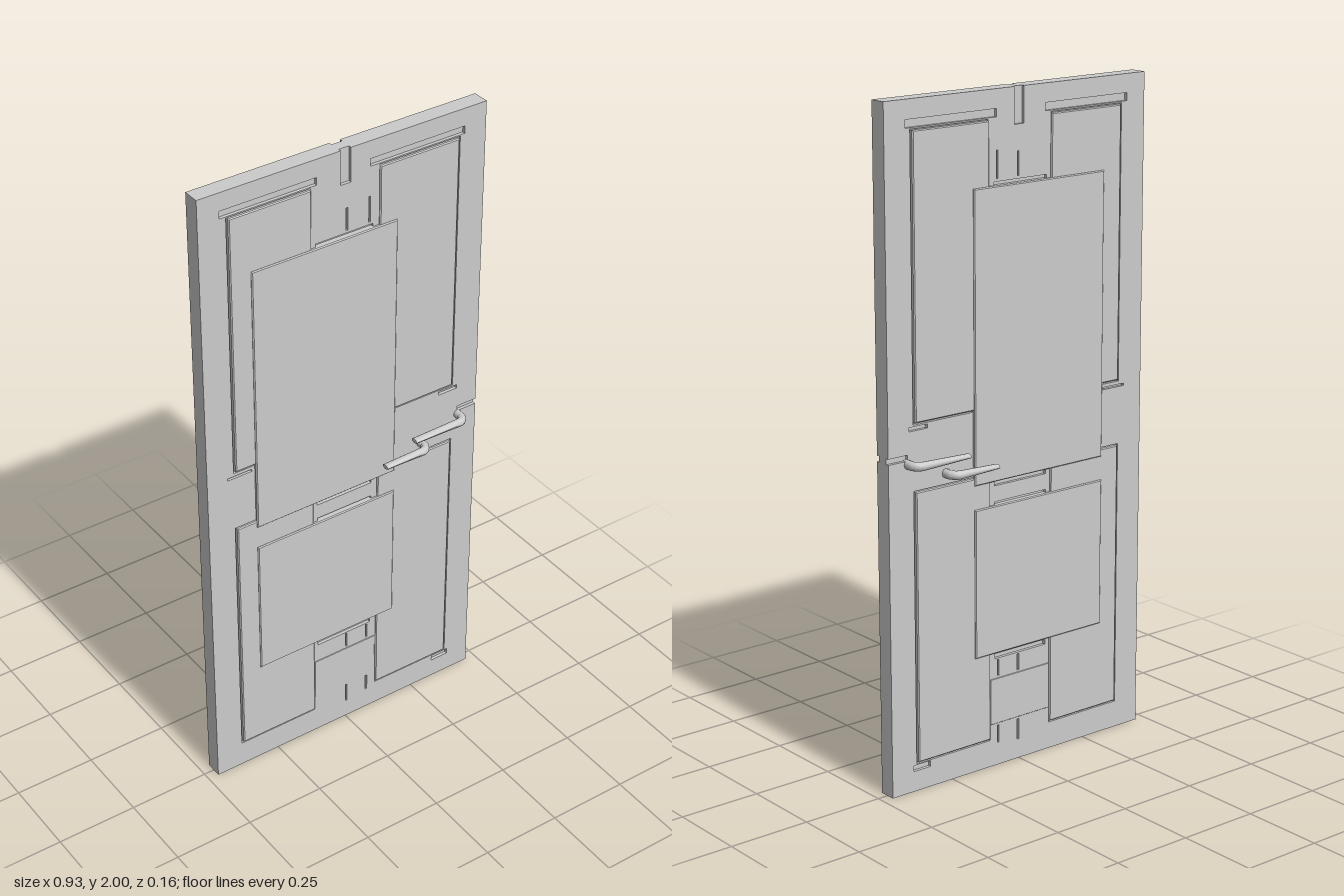
import * as THREE from 'three';

const grey = new THREE.MeshStandardMaterial({ color: 0xcccccc });
const flat = new THREE.MeshStandardMaterial({ color: 0xcccccc, flatShading: true });
const capMat = new THREE.MeshStandardMaterial({ color: 0xcccccc, side: THREE.DoubleSide });

const HALF = 0.026;   // half thickness of the door
const SKIN = 0.01;    // depth of the cut grooves

function shapeOf(points, Type = THREE.Shape) {
  return new Type(points.map(([x, y]) => new THREE.Vector2(x, y)));
}
const rect = (x0, x1, y0, y1) => [[x0, y0], [x1, y0], [x1, y1], [x0, y1]];

function add(parent, name, geometry, material = flat) {
  const mesh = new THREE.Mesh(geometry, material);
  mesh.name = name;
  parent.add(mesh);
  return mesh;
}

// A panel running through the door, standing proud by the same amount on both faces
function addPanel(parent, name, [x0, x1, y0, y1], half) {
  const b = 0.003;
  const geo = new THREE.ExtrudeGeometry(shapeOf(rect(x0 + b, x1 - b, y0 + b, y1 - b)), {
    depth: 2 * (half - b), bevelEnabled: true, bevelThickness: b, bevelSize: b, bevelSegments: 1,
  });
  geo.translate(0, 0, -(half - b));
  add(parent, name, geo);
}

// A round lever on one face; it thins toward its free end
function addLever(parent, name, tipX, stemX, y, side) {
  const z = 0.0665 * side, r = 0.0125;
  const points = [[tipX, z], [stemX - 0.02, z], [stemX - 0.008, z - 0.005 * side],
    [stemX, z - 0.019 * side], [stemX, 0.015 * side]];
  const path = new THREE.CurvePath();
  for (let i = 1; i < points.length; i++) {
    const [a, b] = [points[i - 1], points[i]];
    path.add(new THREE.LineCurve3(new THREE.Vector3(a[0], 0, a[1]), new THREE.Vector3(b[0], 0, b[1])));
  }
  const squash = (x) => THREE.MathUtils.lerp(0.55, 1.1, THREE.MathUtils.clamp((x - tipX) / (stemX - tipX), 0, 1));
  const geo = new THREE.TubeGeometry(path, 48, r, 12, false);
  const pos = geo.attributes.position;
  for (let i = 0; i < pos.count; i++) pos.setY(i, pos.getY(i) * squash(pos.getX(i)));
  geo.computeVertexNormals();
  const lever = new THREE.Group();
  lever.name = name;
  lever.position.y = y;
  add(lever, 'leverRod', geo, grey);
  const cap = add(lever, 'leverEnd', new THREE.CircleGeometry(r, 12), capMat);
  cap.rotation.y = -Math.PI / 2;
  cap.scale.y = squash(tipX);
  cap.position.set(tipX, 0, z);
  parent.add(lever);
}

export function createModel() {
  const door = new THREE.Group();
  door.name = 'door';

  // Core, visible at the bottom of the grooves
  const core = add(door, 'core', new THREE.BoxGeometry(0.934, 2, 2 * (HALF - SKIN)));
  core.position.y = 1;

  // Face outline with the top notch and the notch in the lock edge
  const outline = shapeOf([
    [-0.467, 0], [0.467, 0], [0.467, 0.995], [0.4, 0.995], [0.4, 1.012], [0.467, 1.012],
    [0.467, 2], [0.016, 2], [0.016, 1.895], [-0.018, 1.895], [-0.018, 2], [-0.467, 2],
  ]);
  const sidePanels = [
    [-0.375, -0.115, 1.1, 1.915], [0.11, 0.375, 1.1, 1.915],
    [-0.375, -0.115, 0.088, 0.9], [0.11, 0.375, 0.088, 0.9],
  ];
  // Grooves: headers, short corner cuts, middle rail cuts and slits
  const grooves = [
    [-0.4, -0.095, 1.922, 1.945], [0.08, 0.395, 1.922, 1.945],
    [-0.4, -0.32, 1.078, 1.085], [0.33, 0.395, 1.078, 1.09],
    [0.33, 0.39, 0.062, 0.08],
    [-0.1, 0.09, 1.72, 1.742], [-0.1, 0.09, 0.802, 0.815], [-0.1, 0.09, 0.863, 0.89],
    [-0.1, 0.09, 0.335, 0.35],
    [0, 0.006, 1.75, 1.82], [0, 0.006, 0.28, 0.33], [0, 0.006, 0.06, 0.125],
    [0.075, 0.081, 1.75, 1.83], [0.075, 0.081, 0.28, 0.33], [0.075, 0.081, 0.07, 0.125],
  ];
  // Panel openings leave a narrow gap on the outer sides only
  const openings = sidePanels.map(([x0, x1, y0, y1]) =>
    [x0 - (x0 < 0 ? 0.005 : 0), x1 + (x0 > 0 ? 0.005 : 0), y0 - 0.005, y1 + 0.003]);
  for (const r of [...grooves, ...openings]) outline.holes.push(shapeOf(rect(...r), THREE.Path));

  for (const side of [1, -1]) {
    const face = new THREE.ExtrudeGeometry(outline, { depth: SKIN, bevelEnabled: false });
    face.translate(0, 0, side > 0 ? HALF - SKIN : -HALF);
    add(door, side > 0 ? 'frontFace' : 'backFace', face);
  }

  // Four tall side panels and the two offset middle panels over them
  sidePanels.forEach((p) => addPanel(door, 'sidePanel', p, 0.031));
  addPanel(door, 'upperMiddlePanel', [-0.31, 0.168, 0.878, 1.732], 0.035);
  addPanel(door, 'lowerMiddlePanel', [-0.31, 0.168, 0.355, 0.806], 0.035);

  // Shallow plate near the foot
  addPanel(door, 'footPlate', [-0.115, 0.11, 0.13, 0.275], 0.0275);

  // Two levers on each face
  for (const side of [1, -1]) {
    addLever(door, 'upperLever', 0.215, 0.4, 0.985, side);
    addLever(door, 'lowerLever', 0.112, 0.267, 0.935, side);
  }
  return door;
}
